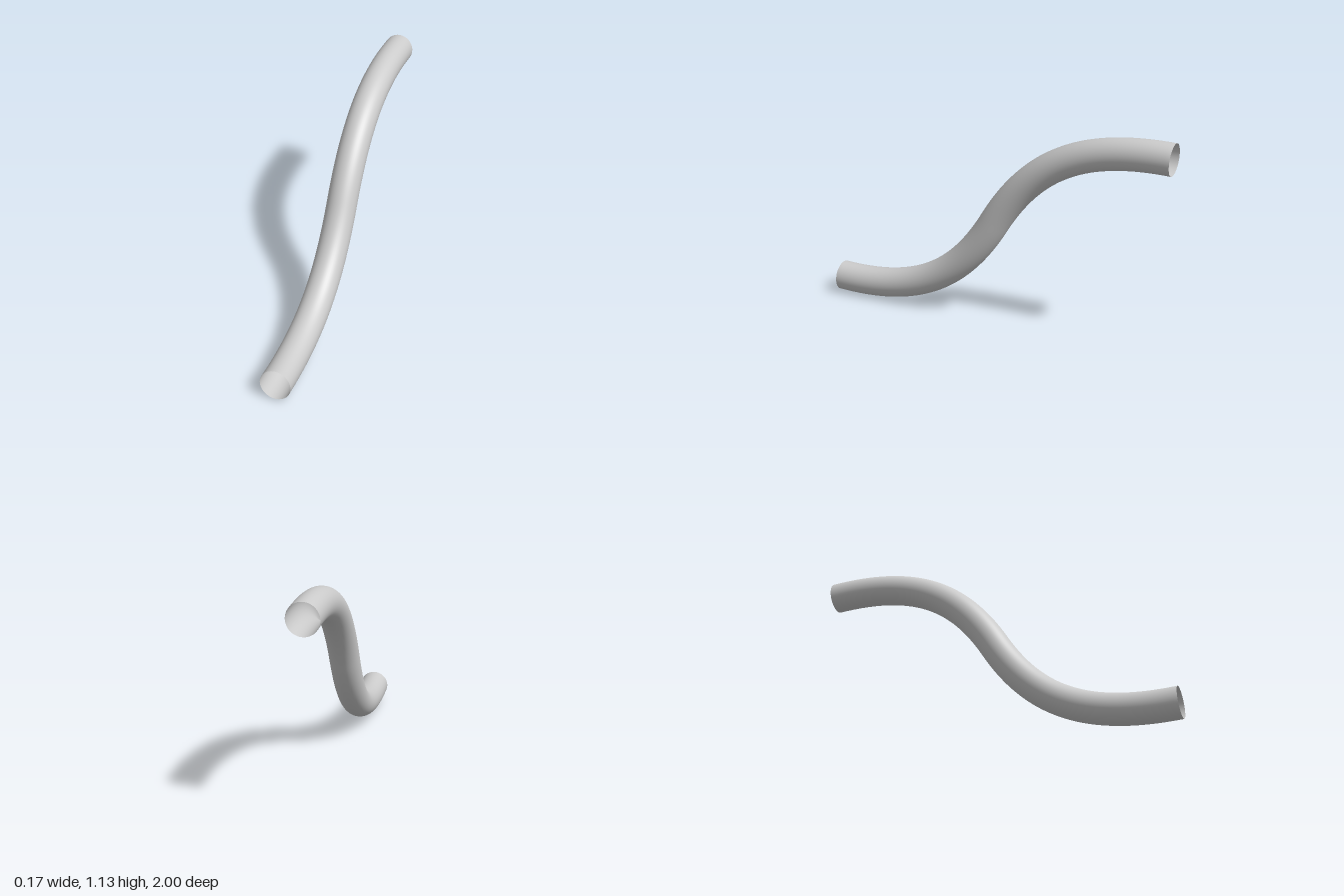
import * as THREE from 'three';

export function createModel() {
  const group = new THREE.Group();
  const midY = 0.566;

  // Lower half of the S-bend; the upper half is its point mirror about the middle
  const lower = [[0.995, 0.09], [0.5, 0.058], [0.22, 0.208], [0, midY]]
    .map(([z, y]) => new THREE.Vector3(0, y, z));
  const upper = lower.map((p) => new THREE.Vector3(0, 2 * midY - p.y, -p.z)).reverse();

  const path = new THREE.CurvePath();
  path.add(new THREE.CubicBezierCurve3(...lower));
  path.add(new THREE.CubicBezierCurve3(...upper));

  // Open-ended pipe, very slightly narrower across x
  const geometry = new THREE.TubeGeometry(path, 96, 0.085, 48, false);
  geometry.scale(0.975, 1, 1);
  geometry.computeVertexNormals();

  // Weld the normals along the lengthwise seam
  const normal = geometry.attributes.normal;
  const ring = 49;
  for (let i = 0; i < normal.count; i += ring) {
    const a = new THREE.Vector3().fromBufferAttribute(normal, i);
    const b = new THREE.Vector3().fromBufferAttribute(normal, i + ring - 1);
    a.add(b).normalize();
    normal.setXYZ(i, a.x, a.y, a.z);
    normal.setXYZ(i + ring - 1, a.x, a.y, a.z);
  }

  const pipe = new THREE.Mesh(
    geometry,
    new THREE.MeshStandardMaterial({ color: 0xcccccc, side: THREE.DoubleSide })
  );
  pipe.name = 'curvedPipe';
  group.add(pipe);
  return group;
}
